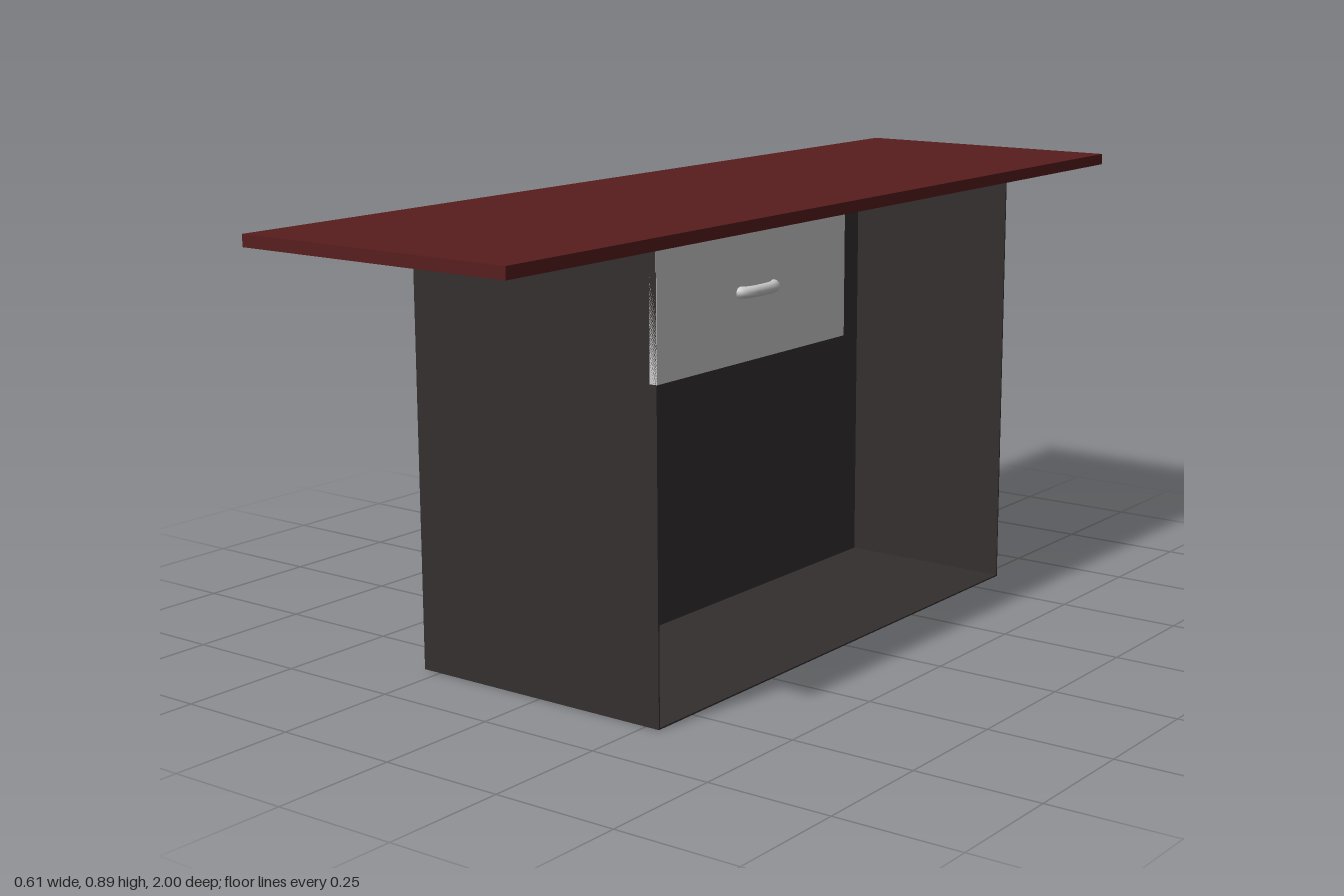
import * as THREE from 'three';

const wood = new THREE.MeshStandardMaterial({ color: 0x581d1d });
const dark = new THREE.MeshStandardMaterial({ color: 0x342f2f });
const grey = new THREE.MeshStandardMaterial({ color: 0xcccccc });

// Box given by its minimum and maximum corners
function box(name, material, [x0, y0, z0], [x1, y1, z1]) {
  const mesh = new THREE.Mesh(new THREE.BoxGeometry(x1 - x0, y1 - y0, z1 - z0), material);
  mesh.position.set((x0 + x1) / 2, (y0 + y1) / 2, (z0 + z1) / 2);
  mesh.name = name;
  return mesh;
}

export function createModel() {
  const desk = new THREE.Group();
  desk.name = 'desk';
  const back = -0.29, inner = -0.09, front = 0.28, half = 0.6, top = 0.865, t = 0.003;

  // Long overhanging top
  desk.add(box('tabletop', wood, [-0.305, top, -1], [0.295, 0.888, 1]));

  // Body: deep back, thin sides and floor, open towards +x
  const body = new THREE.Group();
  body.name = 'body';
  body.add(
    box('backBlock', dark, [back, 0, -half], [inner, top, half]),
    box('floorPanel', dark, [inner, 0, -half], [front, t, half]),
    box('leftPanel', dark, [inner, t, half - t], [front, top, half]),
    box('rightPanel', dark, [inner, t, -half], [front, top, t - half])
  );
  desk.add(body);

  // Drawer: front plate with an open tray behind it
  const drawer = new THREE.Group();
  drawer.name = 'drawer';
  const plate = 0.265, z0 = 0.027, z1 = 0.595, y0 = 0.633, y1 = 0.842, w = 0.012;
  drawer.add(
    box('drawerFront', grey, [plate, 0.628, 0.018], [front + 0.001, 0.864, half]),
    box('drawerBottom', grey, [inner, y0, z0], [plate, y0 + w, z1]),
    box('drawerBack', grey, [inner, y0 + w, z0 + w], [inner + w, y1, z1 - w])
  );
  for (const z of [z0, z1 - w]) {
    drawer.add(box('drawerSide', grey, [inner, y0 + w, z], [plate, y1, z + w]));
  }

  // Arched pull handle
  const path = new THREE.CatmullRomCurve3([
    [0.276, 0.252], [0.285, 0.256], [0.292, 0.273], [0.294, 0.305],
    [0.292, 0.337], [0.285, 0.354], [0.276, 0.358]
  ].map(([x, z]) => new THREE.Vector3(x, 0.757, z)));
  const handle = new THREE.Mesh(new THREE.TubeGeometry(path, 32, 0.011, 12), grey);
  handle.name = 'handle';
  drawer.add(handle);
  desk.add(drawer);

  return desk;
}
